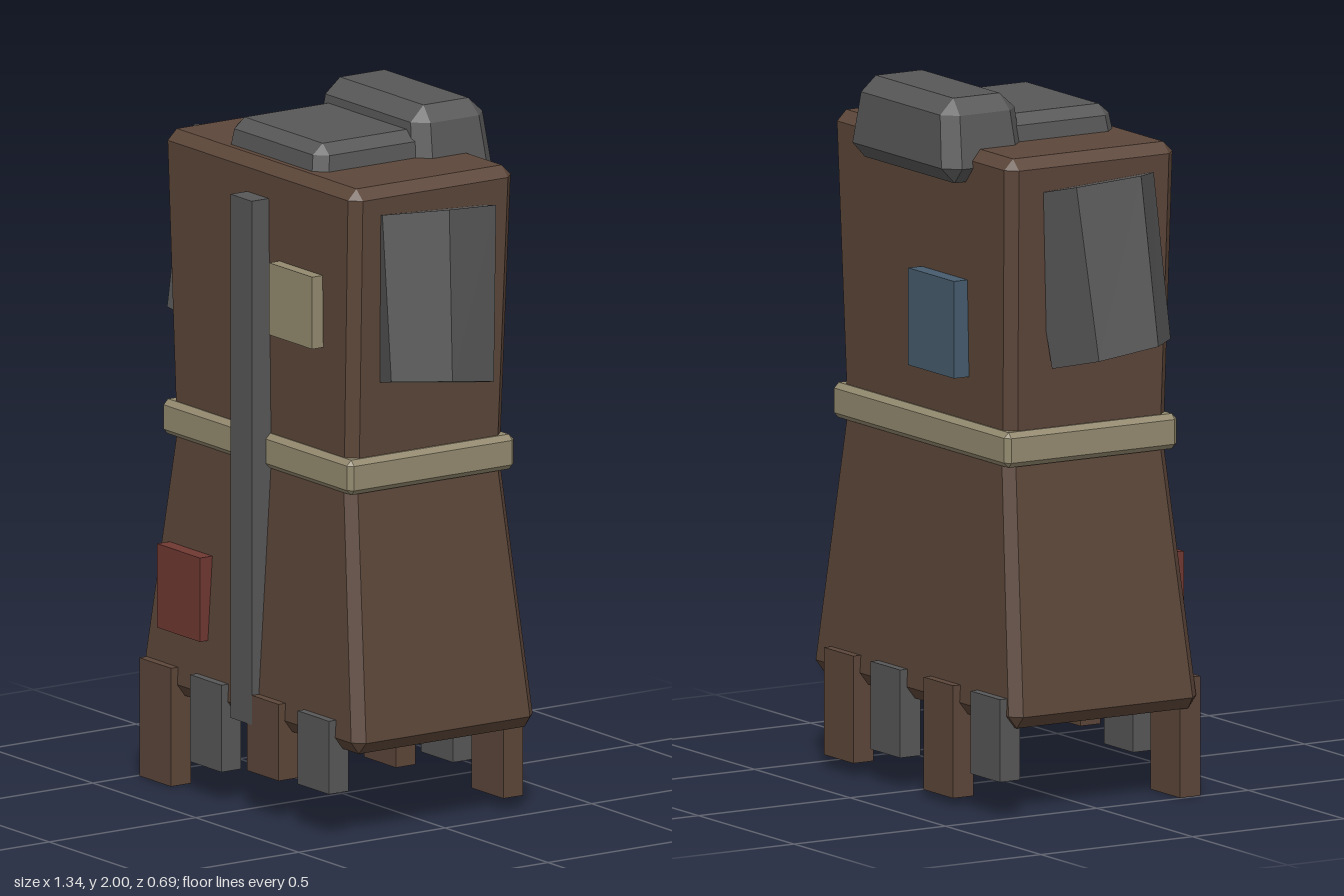
import * as THREE from 'three';

const V = (x, y, z) => new THREE.Vector3(x, y, z);

const material = (name, color) => {
  const m = new THREE.MeshStandardMaterial({ color });
  m.name = name;
  return m;
};

// Faceted solid through rings of points, bottom to top, each counterclockwise from above
function loft(rings) {
  const pos = [];
  const tri = (a, b, c) => {
    const area = b.clone().sub(a).cross(c.clone().sub(a)).length();
    if (area > 1e-7) for (const p of [a, b, c]) pos.push(p.x, p.y, p.z);
  };
  const n = rings[0].length;
  for (let r = 0; r < rings.length - 1; r++) {
    const lo = rings[r], hi = rings[r + 1];
    for (let i = 0; i < n; i++) {
      const j = (i + 1) % n;
      tri(lo[i], lo[j], hi[j]);
      tri(lo[i], hi[j], hi[i]);
    }
  }
  const bottom = rings[0], top = rings[rings.length - 1];
  for (let i = 1; i < n - 1; i++) {
    tri(top[0], top[i], top[i + 1]);
    tri(bottom[0], bottom[i + 1], bottom[i]);
  }
  const g = new THREE.BufferGeometry();
  g.setAttribute('position', new THREE.Float32BufferAttribute(pos, 3));
  g.computeVertexNormals();
  return g;
}

// Rectangle with cut corners: height, half width, back z, front z, corner cut
const ring = ([y, h, b, f, c]) => [
  V(-h + c, y, f), V(h - c, y, f), V(h, y, f - c), V(h, y, b + c),
  V(h - c, y, b), V(-h + c, y, b), V(-h, y, b + c), V(-h, y, f - c),
];

// Regular hexagon completed from three neighbouring corners
function hexagon(front, outer, back) {
  const centre = front.clone().add(back).sub(outer);
  const opposite = (p) => centre.clone().multiplyScalar(2).sub(p);
  return [front, outer, back, opposite(front), opposite(outer), opposite(back)];
}

export function createModel() {
  const model = new THREE.Group();
  model.name = 'patchedRobe';

  const brown = material('brownCloth', 0x5c4639);
  const grey = material('greyCloth', 0x575757);
  const tan = material('tanCloth', 0x938a6f);
  const red = material('redCloth', 0x703832);
  const blue = material('blueCloth', 0x465c6e);

  const add = (name, geometry, mat) => {
    const mesh = new THREE.Mesh(geometry, mat);
    mesh.name = name;
    model.add(mesh);
  };
  const block = (name, mat, x0, x1, y0, y1, z0, z1) => {
    const g = new THREE.BoxGeometry(x1 - x0, y1 - y0, z1 - z0);
    g.translate((x0 + x1) / 2, (y0 + y1) / 2, (z0 + z1) / 2);
    add(name, g, mat);
  };
  const bevelled = (name, mat, rows) => add(name, loft(rows.map(ring)), mat);

  // Robe body
  bevelled('skirt', brown, [
    [0.255, 0.505, -0.268, 0.298, 0],
    [0.29, 0.535, -0.295, 0.324, 0.03],
    [1.03, 0.428, -0.252, 0.277, 0.028],
  ]);
  bevelled('torso', brown, [
    [1.03, 0.437, -0.252, 0.279, 0.03],
    [1.83, 0.468, -0.267, 0.288, 0.03],
    [1.86, 0.437, -0.237, 0.258, 0],
  ]);
  bevelled('belt', tan, [
    [0.985, 0.445, -0.257, 0.282, 0],
    [1.0, 0.46, -0.272, 0.297, 0.015],
    [1.07, 0.46, -0.272, 0.297, 0.015],
    [1.085, 0.445, -0.257, 0.282, 0],
  ]);

  // Folded hood and collar
  bevelled('hood', grey, [
    [1.765, 0.235, -0.303, -0.12, 0],
    [1.81, 0.275, -0.345, -0.077, 0.042],
    [1.957, 0.247, -0.333, -0.088, 0.04],
    [2.0, 0.203, -0.287, -0.135, 0],
  ]);
  bevelled('collar', grey, [
    [1.8, 0.24, -0.15, 0.25, 0.035],
    [1.905, 0.224, -0.15, 0.234, 0.033],
    [1.934, 0.19, -0.12, 0.2, 0],
  ]);

  // Short hexagonal sleeves, mirrored
  const lower = hexagon(V(0.545, 1.32, 0.215), V(0.671, 1.33, 0.095), V(0.63, 1.298, -0.075));
  const upper = hexagon(V(0.48, 1.785, 0.2), V(0.62, 1.81, 0.07), V(0.58, 1.79, -0.118));
  const mirror = (points) => points.map((p) => V(-p.x, p.y, p.z)).reverse();
  add('leftSleeve', loft([lower, upper]), grey);
  add('rightSleeve', loft([mirror(lower), mirror(upper)]), grey);

  // Front strip and sewn patches
  block('frontStrip', grey, -0.052, 0.052, 0.255, 1.76, 0.27, 0.345);
  block('chestPatch', tan, 0.102, 0.311, 1.383, 1.59, 0.27, 0.321);
  block('skirtPatch', red, -0.414, -0.205, 0.442, 0.683, 0.29, 0.341);
  block('backPatch', blue, -0.235, 0.005, 1.21, 1.486, -0.305, -0.25);

  // Ragged hem strips: centre x, front colour and bottom, back colour and bottom
  const tatters = [
    [-0.417, brown, 0, grey, 0.105],
    [-0.172, grey, 0.09, brown, 0.02],
    [0.105, brown, 0.12, grey, 0.09],
    [0.35, grey, 0.13, brown, 0.035],
  ];
  tatters.forEach(([x, frontMat, frontY, backMat, backY], i) => {
    block(`frontTatter${i + 1}`, frontMat, x - 0.077, x + 0.077, frontY, 0.34, 0.278, 0.345);
    block(`backTatter${i + 1}`, backMat, x - 0.077, x + 0.077, backY, 0.34, -0.317, -0.25);
  });

  return model;
}
